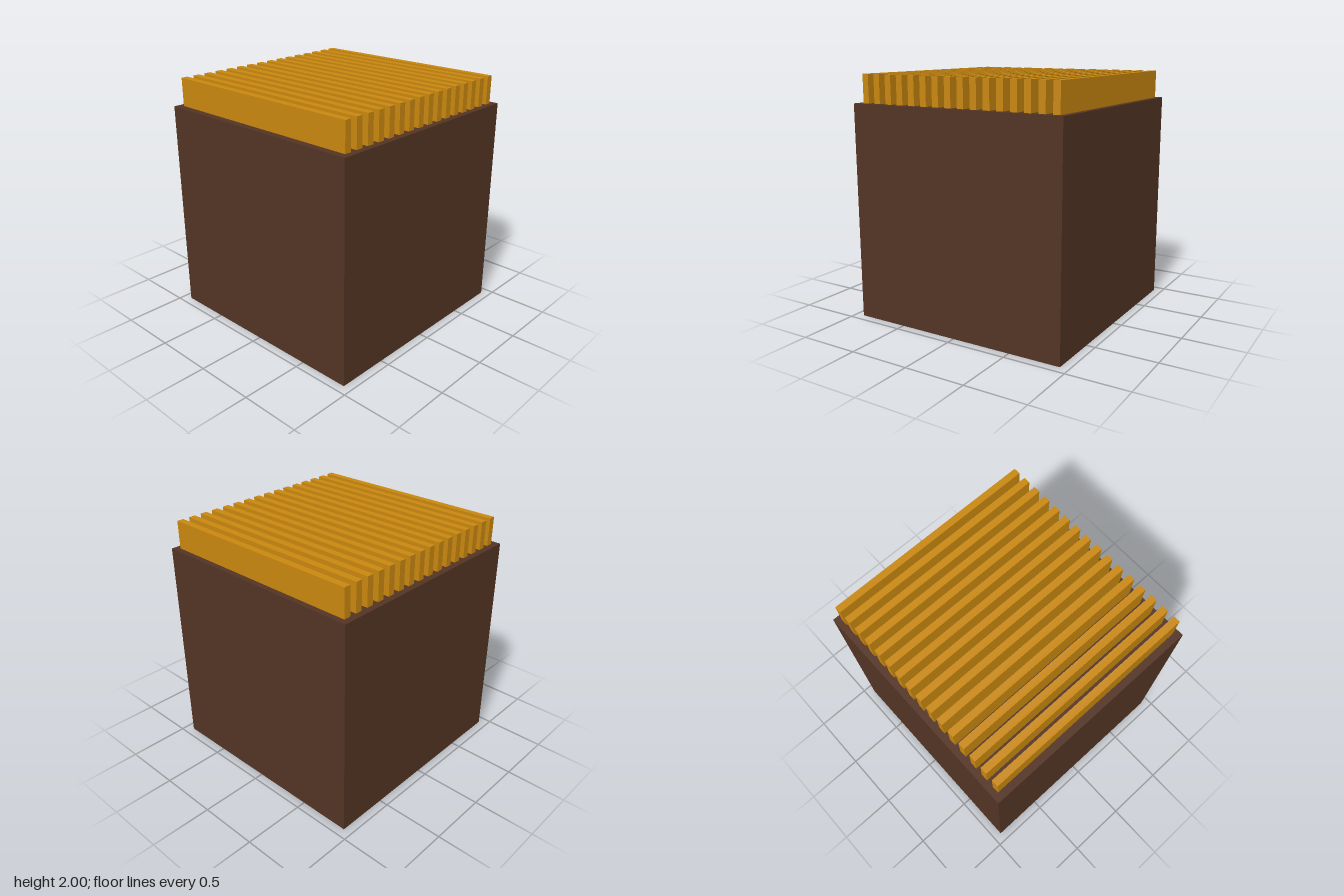
import * as THREE from 'three';

export function createModel() {
  const model = new THREE.Group();
  model.name = 'finnedBlock';

  const brown = new THREE.MeshStandardMaterial({ color: 0x533424 });
  brown.name = 'dark brown';
  const gold = new THREE.MeshStandardMaterial({ color: 0xc8870f });
  gold.name = 'golden amber';

  // Solid base block
  const baseSize = 1.856, baseHeight = 1.77;
  const base = new THREE.Mesh(new THREE.BoxGeometry(baseSize, baseHeight, baseSize), brown);
  base.name = 'base';
  base.position.y = baseHeight / 2;
  model.add(base);

  // Row of parallel upright fins, from back to front
  const fins = new THREE.Group();
  fins.name = 'fins';
  const count = 16, pitch = 0.113, thickness = 0.056, finHeight = 2 - baseHeight;
  const finGeometry = new THREE.BoxGeometry(1.758, finHeight, thickness);
  for (let i = 0; i < count; i++) {
    const fin = new THREE.Mesh(finGeometry, gold);
    fin.name = `fin${i + 1}`;
    fin.position.set(0, baseHeight + finHeight / 2, -0.853 + i * pitch);
    fins.add(fin);
  }
  model.add(fins);

  return model;
}
